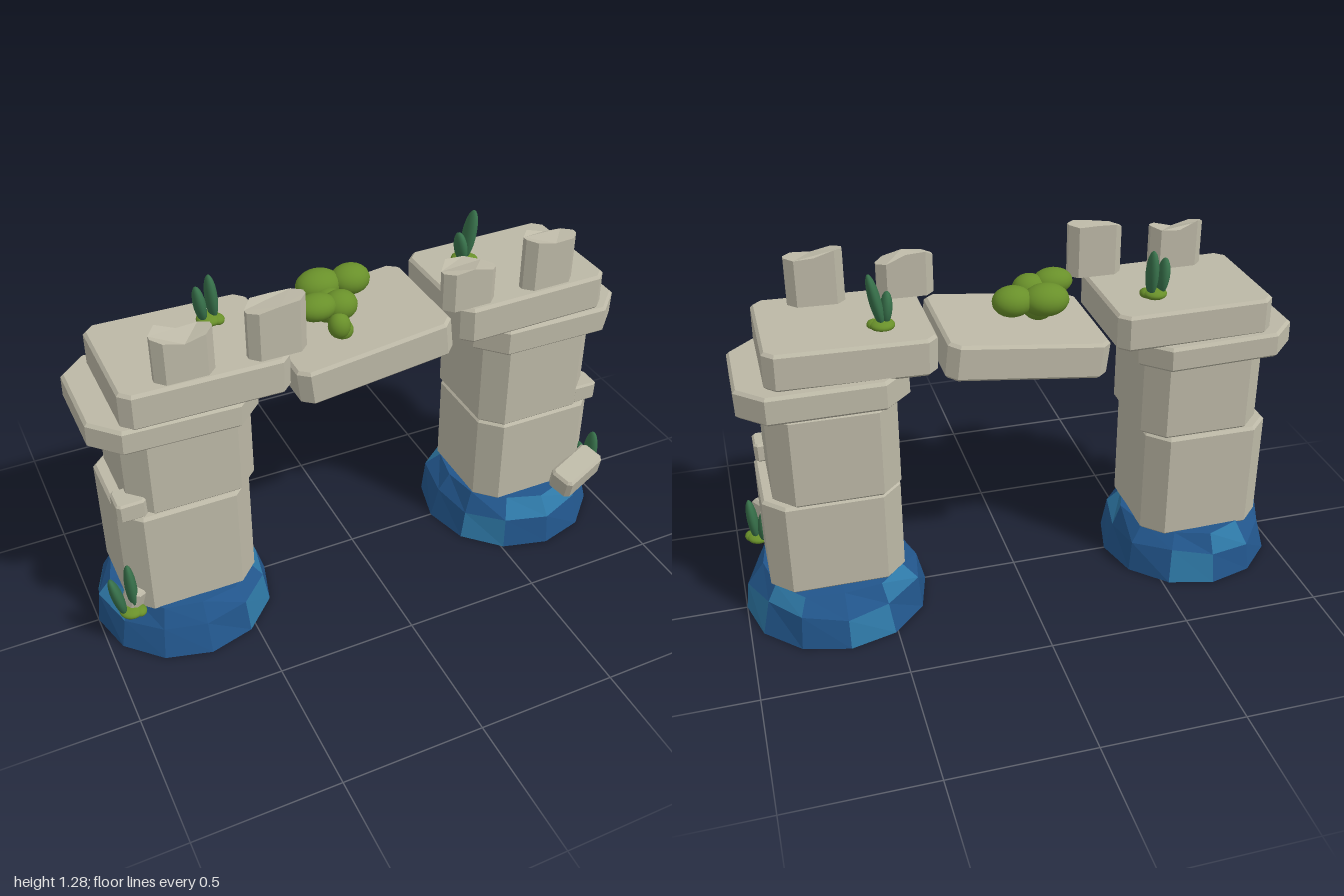
import * as THREE from 'three';

const mat = (name, color) => Object.assign(new THREE.MeshStandardMaterial({ color }), { name });

export function createModel() {
  const stone = mat('stone', 0xbcb8a6);
  const deepBlue = mat('deepBlue', 0x22568c);
  const brightBlue = mat('brightBlue', 0x2e78a6);
  const moss = mat('moss', 0x69902a);
  const leaf = mat('leaf', 0x37704a);
  const model = new THREE.Group();
  model.name = 'ruinedArch';

  const add = (name, geo, material, parent = model) => {
    const mesh = new THREE.Mesh(geo, material);
    mesh.name = name;
    parent.add(mesh);
    return mesh;
  };

  // Plan outline with cut corners and a middle point on the long edges
  const outline = (w, d, c) => {
    const x = w / 2, z = d / 2;
    return new THREE.Shape([
      [-x + c, -z], [0, -z], [x - c, -z], [x, -z + c], [x, z - c],
      [x - c, z], [0, z], [-x + c, z], [-x, z - c], [-x, -z + c],
    ].map(([a, b]) => new THREE.Vector2(a, b)));
  };

  // Chamfered stone block centred on its own origin
  const block = (name, [w, h, d], pos, c = 0.06, rot = [0, 0, 0], b = 0.01) => {
    const geo = new THREE.ExtrudeGeometry(outline(w, d, c), {
      depth: h - 2 * b, bevelEnabled: true, bevelSize: b, bevelThickness: b,
      bevelOffset: -b, bevelSegments: 1,
    });
    geo.translate(0, 0, b - h / 2).rotateX(-Math.PI / 2);
    const mesh = add(name, geo, stone);
    mesh.position.set(...pos);
    mesh.rotation.set(...rot);
    return mesh;
  };

  // Battlement stone with a broken top: heights at the left, middle and right
  const merlon = (name, x, heights, back) => {
    const h = 0.1, w = 0.195;
    const geo = new THREE.ExtrudeGeometry(outline(w, 0.08, 0.03), { depth: h, bevelEnabled: false });
    geo.rotateX(-Math.PI / 2);
    const p = geo.attributes.position;
    for (let i = 0; i < p.count; i++) {
      if (p.getY(i) < h / 2) continue;
      const t = p.getX(i) / (w / 2);
      const side = t < 0 ? heights[0] : heights[2];
      const y = heights[1] + (side - heights[1]) * Math.abs(t);
      p.setY(i, y + (p.getZ(i) < -0.02 ? back * (0.6 - t) : 0));
    }
    geo.computeVertexNormals();
    add(name, geo, stone).position.set(x, 1.08, 0.183);
  };

  // Faceted two-tone base of a pillar
  const base = (name, x, r, seed) => {
    const profile = [[0, 0], [r, 0], [r * 0.93, 0.115], [r * 0.79, 0.18], [0, 0.18]];
    const n = profile.length, sides = 12;
    const lathe = new THREE.LatheGeometry(profile.map(([a, b]) => new THREE.Vector2(a, b)), sides);
    const p = lathe.attributes.position;
    for (let i = 0; i <= sides; i++) {
      for (let j = 2; j < 4; j++) {
        const k = i * n + j, s = (i % sides) * 2.4 + j * 1.7 + seed;
        const f = 1 + 0.035 * Math.sin(s);
        p.setXYZ(k, p.getX(k) * f, p.getY(k) + (j === 2 ? 0.012 : 0.004) * Math.cos(s * 1.9), p.getZ(k) * f);
      }
    }
    const geo = lathe.toNonIndexed();
    geo.computeVertexNormals();
    for (let q = 0; q < sides * (n - 1); q++) {
      const ring = q % (n - 1), side = Math.floor(q / (n - 1));
      const bright = (ring === 1 || ring === 2) && (side * 5 + ring * 2 + seed) % 7 < 2;
      geo.addGroup(q * 6, 6, bright ? 1 : 0);
    }
    add(name, geo, [deepBlue, brightBlue]).position.x = x;
  };

  // Smooth ellipsoid used for moss and leaves
  const blob = (name, material, pos, radii, parent, tilt = 0) => {
    const mesh = add(name, new THREE.SphereGeometry(1, 20, 14), material, parent);
    mesh.position.set(...pos);
    mesh.scale.set(...radii);
    mesh.rotation.z = tilt;
  };

  // Sprout: leaves given as [x, z, height, lean], on a mossy foot
  const sprout = (name, pos, leaves) => {
    const g = new THREE.Group();
    g.name = name;
    g.position.set(...pos);
    model.add(g);
    for (const [x, z, h, lean] of leaves) {
      blob('leaf', leaf, [x, h / 2, z], [0.02, h / 2, 0.034], g, lean);
    }
    blob('mossFoot', moss, [0.005, 0.005, 0], [0.042, 0.02, 0.042], g);
    blob('mossFoot', moss, [0.03, 0.003, 0.012], [0.024, 0.017, 0.028], g);
  };

  // Right pillar (-x)
  base('rightBase', -0.682, 0.318, 1);
  block('rightLowerBlock', [0.46, 0.41, 0.42], [-0.68, 0.375, 0], 0.07);
  block('rightUpperBlock', [0.44, 0.3, 0.42], [-0.65, 0.735, 0], 0.07);
  block('rightCapital', [0.565, 0.09, 0.475], [-0.685, 0.912, 0], 0.09, [0, 0, -0.025]);
  block('rightTopSlab', [0.56, 0.128, 0.45], [-0.59, 1.015, 0.013], 0.035, [0, 0, -0.012]);

  // Left pillar (+x)
  base('leftBase', 0.672, 0.328, 4);
  block('leftLowerBlock', [0.47, 0.35, 0.42], [0.675, 0.355, 0.003], 0.07);
  block('leftUpperBlock', [0.435, 0.33, 0.43], [0.655, 0.695, 0], 0.07);
  block('leftCapital', [0.565, 0.1, 0.475], [0.675, 0.908, 0.003], 0.09, [0.02, 0, -0.008]);
  block('leftTopSlab', [0.56, 0.13, 0.445], [0.58, 1.02, 0.02], 0.035, [0, 0, 0.018]);

  // Sagging middle span
  block('middleSpan', [0.56, 0.127, 0.445], [-0.003, 0.956, 0.01], 0.035, [0, 0, 0.115]);

  // Broken battlements
  merlon('merlon', -0.65, [0.155, 0.13, 0.155], 0.018);
  merlon('merlon', -0.345, [0.165, 0.18, 0.19], 0.012);
  merlon('merlon', 0.335, [0.135, 0.145, 0.12], 0.016);
  merlon('merlon', 0.64, [0.19, 0.17, 0.175], 0.01);

  // Protruding bricks and fallen rubble
  block('brick', [0.1, 0.07, 0.095], [-0.867, 0.617, 0.155], 0.012, [0, 0, 0.02], 0.007);
  block('brick', [0.105, 0.07, 0.095], [0.853, 0.567, 0.158], 0.012, [0, 0, -0.02], 0.007);
  block('rubble', [0.2, 0.095, 0.1], [0.83, 0.235, 0.245], 0.015, [0.25, 0.35, 0.1], 0.01);
  block('rubble', [0.07, 0.08, 0.07], [-0.89, 0.225, 0.16], 0.015, [0.3, 0.5, -0.3], 0.008);

  // Sprouts on the slabs and beside the bases
  sprout('topSprout', [-0.485, 1.085, -0.07], [[-0.022, 0, 0.13, 0.12], [0.02, -0.005, 0.16, 0.04]]);
  sprout('topSprout', [0.455, 1.085, -0.068], [[-0.012, 0.01, 0.115, 0.12], [0.024, 0, 0.185, -0.2]]);
  sprout('baseSprout', [-0.918, 0.175, 0.18], [[-0.037, 0, 0.165, 0.2], [0.015, -0.01, 0.195, 0.03]]);
  sprout('baseSprout', [0.92, 0.172, 0.18], [[-0.015, -0.02, 0.12, 0.1], [0.02, 0, 0.165, -0.08]]);

  // Mossy bush on the span
  const bush = new THREE.Group();
  bush.name = 'bush';
  model.add(bush);
  [
    [-0.09, 1.115, -0.075, 0.08, 0.055, 0.065],
    [0.022, 1.118, -0.065, 0.07, 0.052, 0.06],
    [-0.155, 1.12, 0.06, 0.07, 0.045, 0.055],
    [-0.07, 1.105, 0.055, 0.06, 0.05, 0.055],
    [-0.095, 1.06, 0.105, 0.038, 0.045, 0.038],
    [-0.075, 1.03, 0.09, 0.035, 0.035, 0.035],
    [-0.085, 1.075, -0.005, 0.06, 0.06, 0.06],
  ].forEach(([x, y, z, rx, ry, rz]) => blob('bushLobe', moss, [x, y, z], [rx, ry, rz], bush));

  return model;
}
